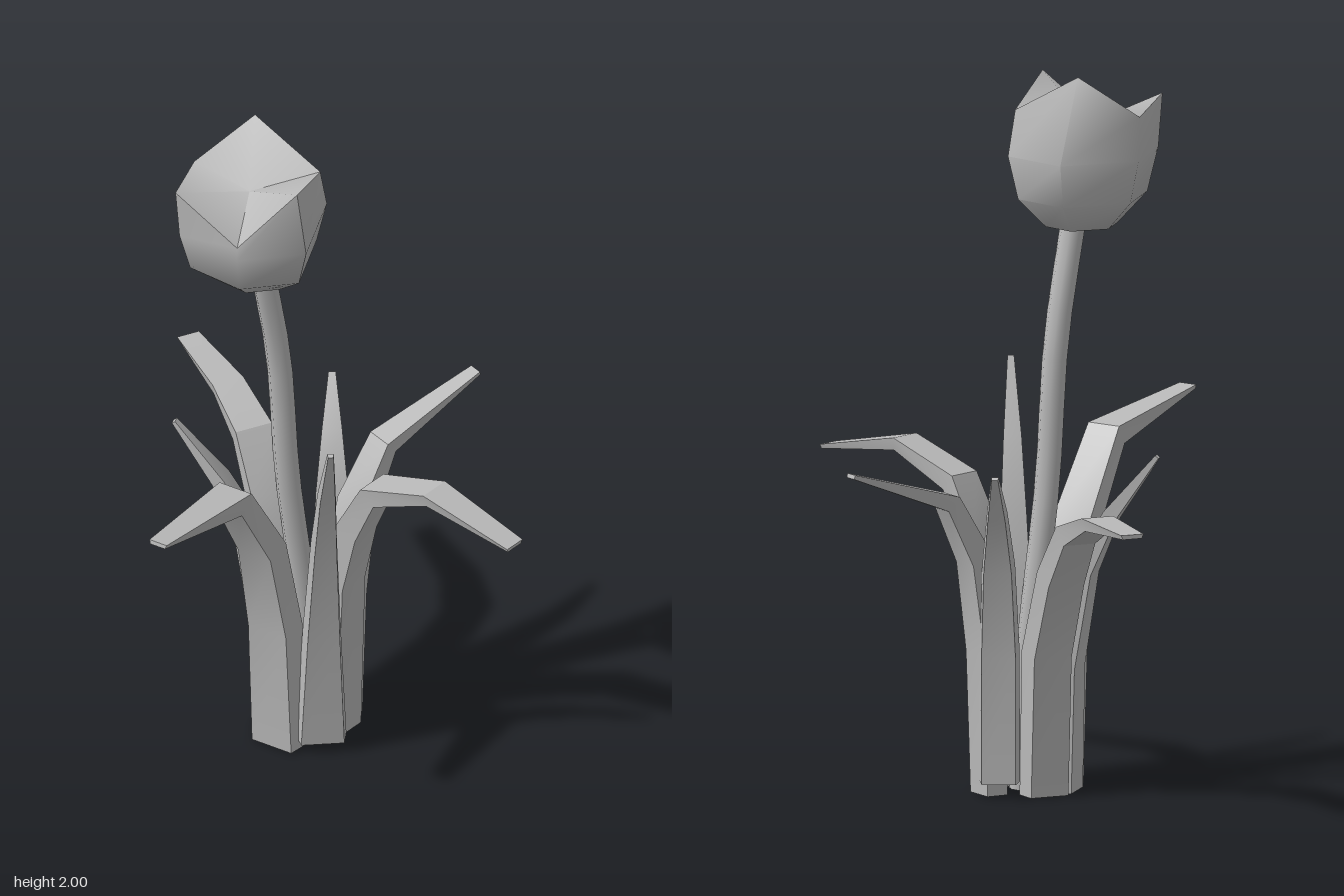
import * as THREE from 'three';
import { toCreasedNormals } from 'three/addons/utils/BufferGeometryUtils.js';

const V = (x, y, z) => new THREE.Vector3(x, y, z);
const UP = V(0, 1, 0);

// Skin a list of equal-length rings, optionally closing both ends
function loft(rings, crease, startCap = true, endCap = true) {
  const n = rings[0].length, idx = [];
  for (let i = 0; i < rings.length - 1; i++) {
    for (let j = 0; j < n; j++) {
      const a = i * n + j, b = i * n + (j + 1) % n;
      idx.push(a, b, b + n, a, b + n, a + n);
    }
  }
  const last = (rings.length - 1) * n;
  for (let j = 1; j < n - 1; j++) {
    if (startCap) idx.push(0, j + 1, j);
    if (endCap) idx.push(last, last + j, last + j + 1);
  }
  const g = new THREE.BufferGeometry().setFromPoints(rings.flat());
  g.setIndex(idx);
  return toCreasedNormals(g, crease);
}

// Thick strap leaf from base to tip; rows are [share of reach, height, half width, half thickness]
function leafGeometry([bx, bz], [tx, tz], rows) {
  const dir = V(tx - bx, 0, tz - bz).normalize();
  const side = UP.clone().cross(dir);
  const pts = rows.map(([s, y]) => V(bx + (tx - bx) * s, y, bz + (tz - bz) * s));
  const rings = pts.map((p, i) => {
    const t = V(0, 0, 0);
    if (i > 0) t.add(p.clone().sub(pts[i - 1]).normalize());
    if (i < pts.length - 1) t.add(pts[i + 1].clone().sub(p).normalize());
    if (i === 0) t.copy(UP);
    const out = side.clone().cross(t.normalize());
    const [, , w, h] = rows[i];
    return [[h, -w * 0.85], [h, w * 0.85], [-h, w], [-h, -w]].map(([o, s]) =>
      p.clone().addScaledVector(out, o).addScaledVector(side, s));
  });
  return loft(rings, 0.5);
}

const LEAVES = {
  backRightLeaf: [[-0.17, -0.10], [-0.5, -0.63],
    [[0, 0, 0.065, 0.03], [0.03, 0.4, 0.065, 0.035], [0.19, 0.63, 0.062, 0.035], [0.36, 0.77, 0.055, 0.03], [0.6, 0.83, 0.047, 0.018], [1, 0.84, 0.033, 0.006]]],
  backLeftLeaf: [[-0.01, -0.10], [0.32, -0.41],
    [[0, 0, 0.05, 0.03], [0.02, 0.4, 0.055, 0.033], [0.1, 0.66, 0.05, 0.033], [0.3, 0.83, 0.04, 0.025], [1, 0.938, 0.02, 0.006]]],
  frontLeftLeaf: [[-0.01, -0.01], [0.507, 0.33],
    [[0, 0, 0.06, 0.03], [0.02, 0.5, 0.058, 0.034], [0.09, 0.69, 0.055, 0.035], [0.21, 0.84, 0.05, 0.03], [0.54, 0.92, 0.047, 0.018], [1, 0.872, 0.033, 0.006]]],
  frontRightLeaf: [[-0.175, 0.08], [-0.445, 0.628],
    [[0, 0, 0.075, 0.03], [0.03, 0.4, 0.072, 0.035], [0.14, 0.7, 0.062, 0.035], [0.38, 0.94, 0.052, 0.033], [1, 1.01, 0.028, 0.006]]],
  frontLeaf: [[-0.05, 0.10], [0, 0.335],
    [[0, 0.03, 0.07, 0.025], [0.1, 0.4, 0.052, 0.03], [0.33, 0.72, 0.036, 0.028], [0.6, 0.93, 0.025, 0.018], [1, 1.138, 0.009, 0.006]]],
  backLeaf: [[-0.05, -0.155], [-0.073, -0.365],
    [[0, 0.04, 0.055, 0.025], [0.03, 0.4, 0.055, 0.03], [0.25, 0.65, 0.045, 0.03], [0.55, 0.81, 0.028, 0.02], [1, 0.935, 0.01, 0.006]]],
  rightLeaf: [[-0.215, -0.02], [-0.475, -0.06],
    [[0, 0, 0.06, 0.03], [0.03, 0.35, 0.055, 0.03], [0.2, 0.62, 0.045, 0.03], [0.5, 0.78, 0.028, 0.02], [1, 0.95, 0.01, 0.006]]],
};

// Bloom outline at its widest, and the rim with its three pointed petals
const BELLY = [[-0.41, 0.01], [-0.43, 0.22], [-0.26, 0.325], [-0.075, 0.27], [-0.045, 0.02], [-0.21, -0.095]];
const RIM = [[-0.41, 1.88, 0.03], [-0.44, 1.91, 0.23], [-0.26, 1.8, 0.32], [-0.1, 1.955, 0.27], [-0.06, 1.885, 0.05], [-0.25, 2, -0.04]];

export function createModel() {
  const group = new THREE.Group();
  const grey = new THREE.MeshStandardMaterial({ color: 0xbababa });
  grey.name = 'plain grey';
  const add = (name, geometry) => {
    const mesh = new THREE.Mesh(geometry, grey);
    mesh.name = name;
    group.add(mesh);
  };

  for (const [name, args] of Object.entries(LEAVES)) add(name, leafGeometry(...args));

  // Gently bending stem
  const path = new THREE.CatmullRomCurve3([
    V(-0.09, 0, -0.02), V(-0.11, 0.4, -0.015), V(-0.155, 0.85, 0.015),
    V(-0.177, 1.25, 0.035), V(-0.218, 1.59, 0.09),
  ]);
  add('stem', new THREE.TubeGeometry(path, 12, 0.035, 8, false));

  // Cup of the bloom
  const ring = (y, scale, cz) => BELLY.map(([x, z]) =>
    V(-0.24 + (x + 0.24) * scale, y, cz + (z - 0.12) * scale));
  const rim = RIM.map((p) => V(...p));
  add('bloom', loft([ring(1.562, 0.48, 0.09), ring(1.64, 0.86, 0.11), ring(1.76, 1, 0.12), rim], 1.1, true, false));

  // Folded inner petals, dipping to the middle
  const middle = rim.map(() => V(-0.25, 1.84, 0.1));
  add('innerPetals', loft([rim, middle], 1.1, false, false));
  return group;
}
